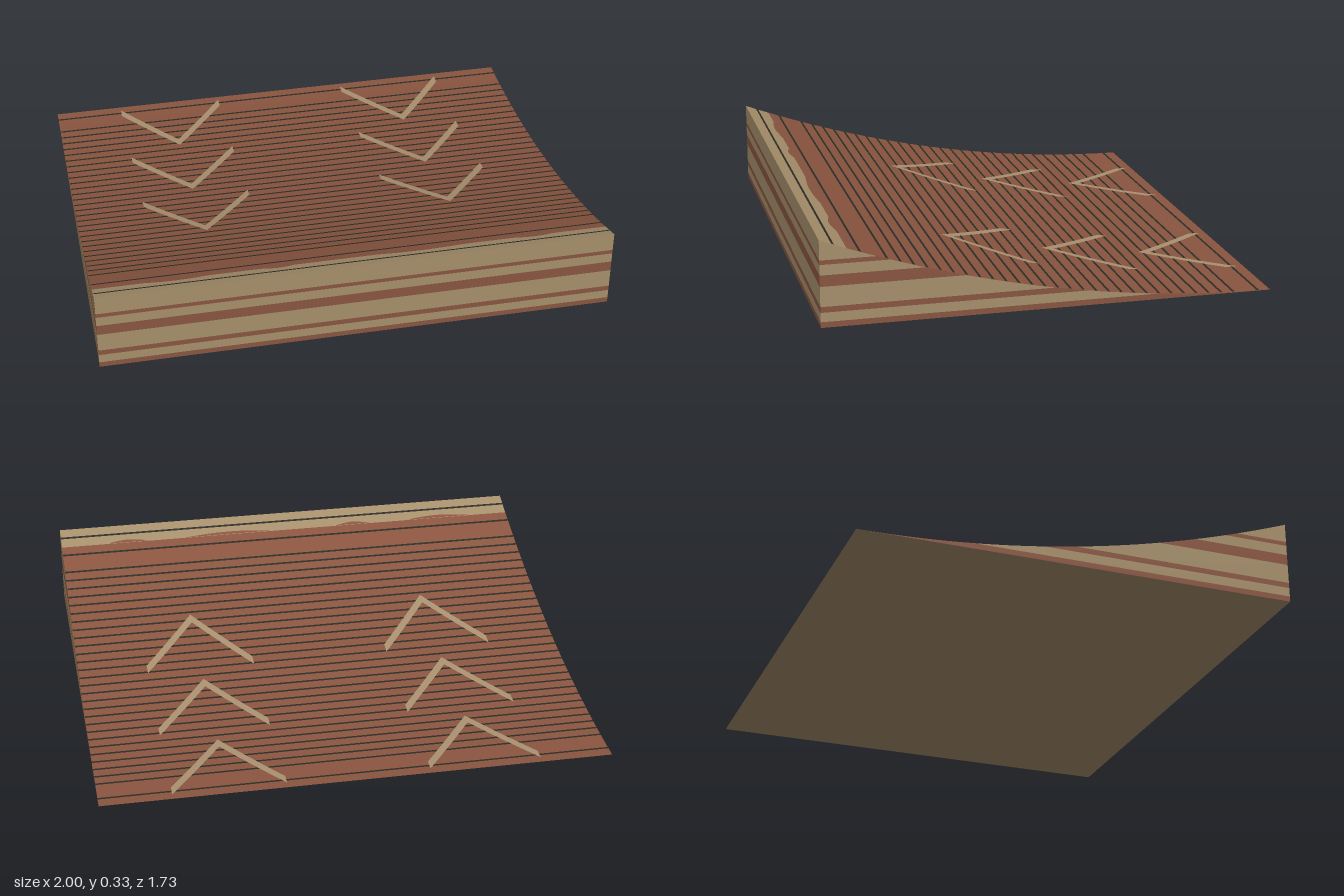
import * as THREE from 'three';

const BACK = -0.865, FRONT = 0.865, LENGTH = FRONT - BACK, HEIGHT = 0.333, SEGMENTS = 35;

// Ramp curve: height at a depth, and its inverse
const rise = (z) => HEIGHT * ((z - BACK) / LENGTH) ** 2;
const depthAt = (y) => BACK + LENGTH * Math.sqrt(y / HEIGHT);

function material(name, color) {
  const m = new THREE.MeshStandardMaterial({ color });
  m.name = name;
  return m;
}

// Surface spanned between two lists of [x, y, z] points
function strip(name, a, b, mat) {
  const index = [];
  for (let i = 0; i < a.length - 1; i++) {
    const p = i * 2;
    index.push(p, p + 1, p + 2, p + 2, p + 1, p + 3);
  }
  const geo = new THREE.BufferGeometry();
  geo.setAttribute('position', new THREE.Float32BufferAttribute(a.flatMap((p, i) => [...p, ...b[i]]), 3));
  geo.setIndex(index);
  geo.computeVertexNormals();
  const mesh = new THREE.Mesh(geo, mat);
  mesh.name = name;
  return mesh;
}

const steps = (from, to, n) => Array.from({ length: n + 1 }, (_, i) => from + (to - from) * i / n);

// Full-width piece of the curved deck
function deck(name, z0, z1, lift, n, mat) {
  const zs = steps(z1, z0, n);
  return strip(name, zs.map((z) => [-1, rise(z) + lift, z]), zs.map((z) => [1, rise(z) + lift, z]), mat);
}

// Patch laid on the deck between two edges z = near(x) and z = far(x)
function drape(name, xs, near, far, lift, mat) {
  const row = (f) => xs.map((x) => [x, rise(f(x)) + lift, f(x)]);
  return strip(name, row(near), row(far), mat);
}

export function createModel() {
  const tan = material('sandstone tan', 0xa68f6b);
  const red = material('clay red', 0x8a5540);
  const dark = material('groove dark', 0x2d2d26);
  const pale = material('marking tan', 0xa99170);
  const model = new THREE.Group();
  model.name = 'curvedRamp';

  // Curved deck with a tan lip along the high edge
  model.add(deck('rampDeck', BACK, 0.765, 0, 33, red));
  model.add(deck('topLip', 0.765, FRONT, 0, 2, tan));

  // Uneven edge where the red deck meets the lip
  for (const [x0, x1] of [[-0.83, -0.54], [-0.37, -0.22], [0.06, 0.46], [0.62, 0.8]]) {
    const edge = (x) => 0.765 + 0.015 * Math.sin(Math.PI * (x - x0) / (x1 - x0));
    model.add(drape('lipEdge', steps(x0, x1, 8), () => 0.765, edge, 0.0015, red));
  }

  // Dark grooves across the deck
  const grooves = new THREE.Group();
  grooves.name = 'deckGrooves';
  for (let k = 1; k < SEGMENTS; k++) {
    if (k === 2 || k === 31 || k === 33) continue;
    const z = BACK + LENGTH * k / SEGMENTS;
    grooves.add(deck('groove', z - 0.005, z + 0.005, 0.0015, 1, dark));
  }
  model.add(grooves);

  // Two columns of three chevrons
  for (const cx of [-0.5, 0.5]) {
    for (const tip of [-0.5, -0.1, 0.305]) {
      const outer = (x) => tip - Math.abs(x - cx) * 1.32;
      model.add(drape('chevron', steps(cx - 0.22, cx + 0.22, 24), (x) => outer(x) - 0.048, outer, 0.003, pale));
    }
  }

  // Layered walls: each layer has a front band and two side bands
  const levels = [0, 0.022, 0.058, 0.08, 0.157, 0.2, 0.24, 0.257, HEIGHT];
  for (let i = 0; i < levels.length - 1; i++) {
    const y0 = levels[i], y1 = levels[i + 1], mat = i % 2 ? tan : red;
    const layer = new THREE.Group();
    layer.name = 'wallLayer';
    layer.add(strip('frontBand', [[1, y0, FRONT], [-1, y0, FRONT]], [[1, y1, FRONT], [-1, y1, FRONT]], mat));
    const zs = steps(depthAt(y0), depthAt(y1), 12);
    if (y1 < HEIGHT) zs.push(FRONT);
    for (const x of [1, -1]) {
      const low = zs.map((z) => [x, y0, z]);
      const high = zs.map((z) => [x, Math.min(rise(z), y1), z]);
      layer.add(x > 0 ? strip('leftBand', low, high, mat) : strip('rightBand', high, low, mat));
    }
    model.add(layer);
  }
  // The top layer is tan all the way up to the lip
  model.add(strip('underside', [[-1, 0, BACK], [-1, 0, FRONT]], [[1, 0, BACK], [1, 0, FRONT]], tan));
  return model;
}
